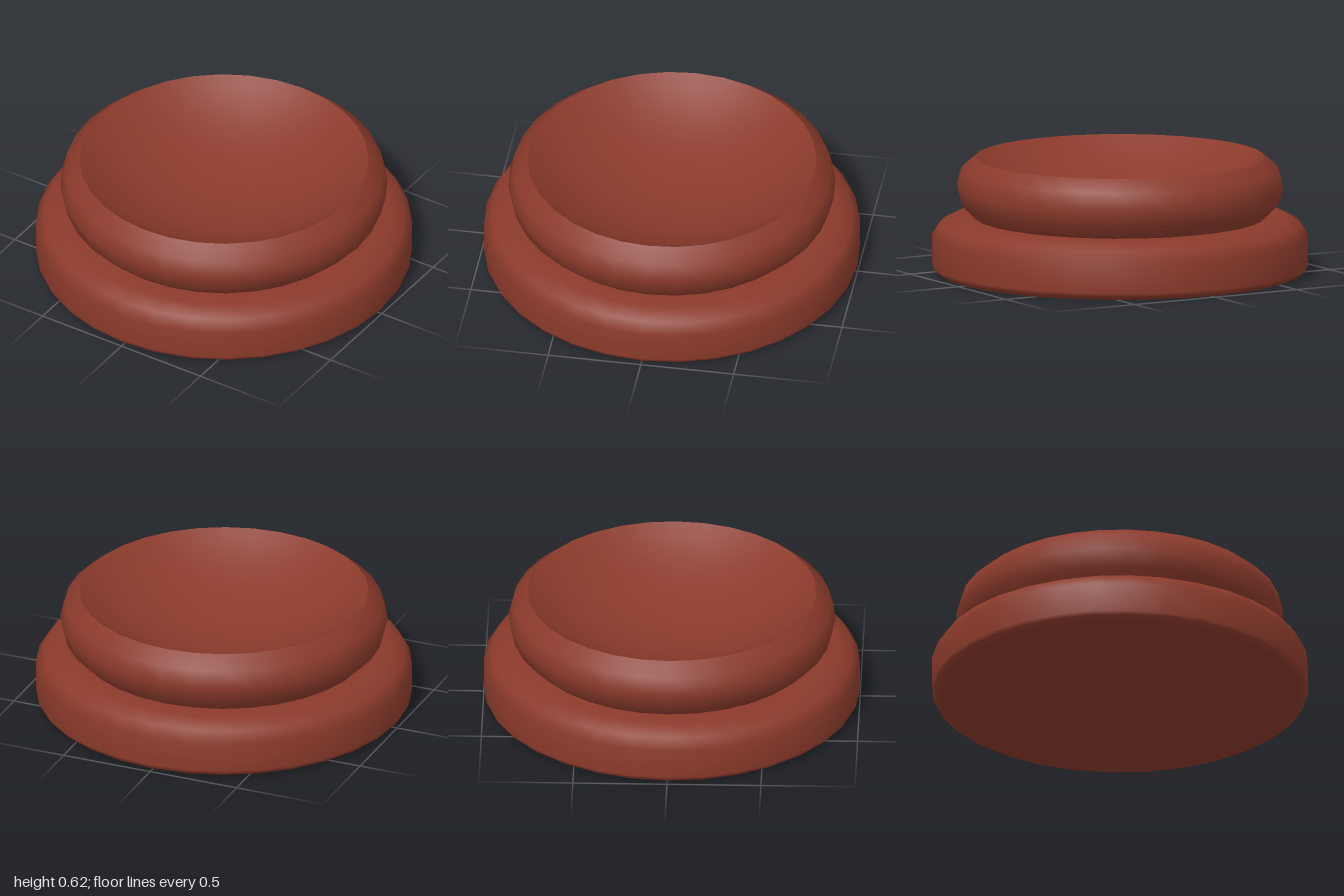
import * as THREE from 'three';

const SIDES = 32;
const clay = new THREE.MeshStandardMaterial({ color: 0x8b3a2b });

// Turned part from [radius, height] pairs, running from bottom outside to top inside
function turned(name, profile) {
  const points = profile.map(([r, y]) => new THREE.Vector2(r, y));
  const mesh = new THREE.Mesh(new THREE.LatheGeometry(points, SIDES), clay);
  mesh.name = name;
  return mesh;
}

// Shallow spherical bowl from the rim down to the centre
function bowlProfile(rim, top, depth, steps) {
  const R = (rim * rim + depth * depth) / (2 * depth);
  const edge = Math.asin(rim / R);
  return Array.from({ length: steps + 1 }, (_, i) => {
    const a = edge * (1 - i / steps);
    return [R * Math.sin(a), top - depth + R * (1 - Math.cos(a))];
  });
}

export function createModel() {
  const model = new THREE.Group();
  model.name = 'dish';
  model.add(
    // Wide foot with rounded shoulder and closed underside
    turned('base', [
      [0, 0], [0.96, 0], [0.99, 0.02], [1, 0.04], [1, 0.2], [0.96, 0.26], [0.88, 0.3], [0.74, 0.3],
    ]),
    // Bulging upper ring
    turned('upperRing', [
      [0.775, 0.3], [0.845, 0.37], [0.87, 0.465], [0.845, 0.555], [0.768, 0.62],
    ]),
    // Hollowed top
    turned('bowl', bowlProfile(0.768, 0.62, 0.27, 10)),
  );
  return model;
}
